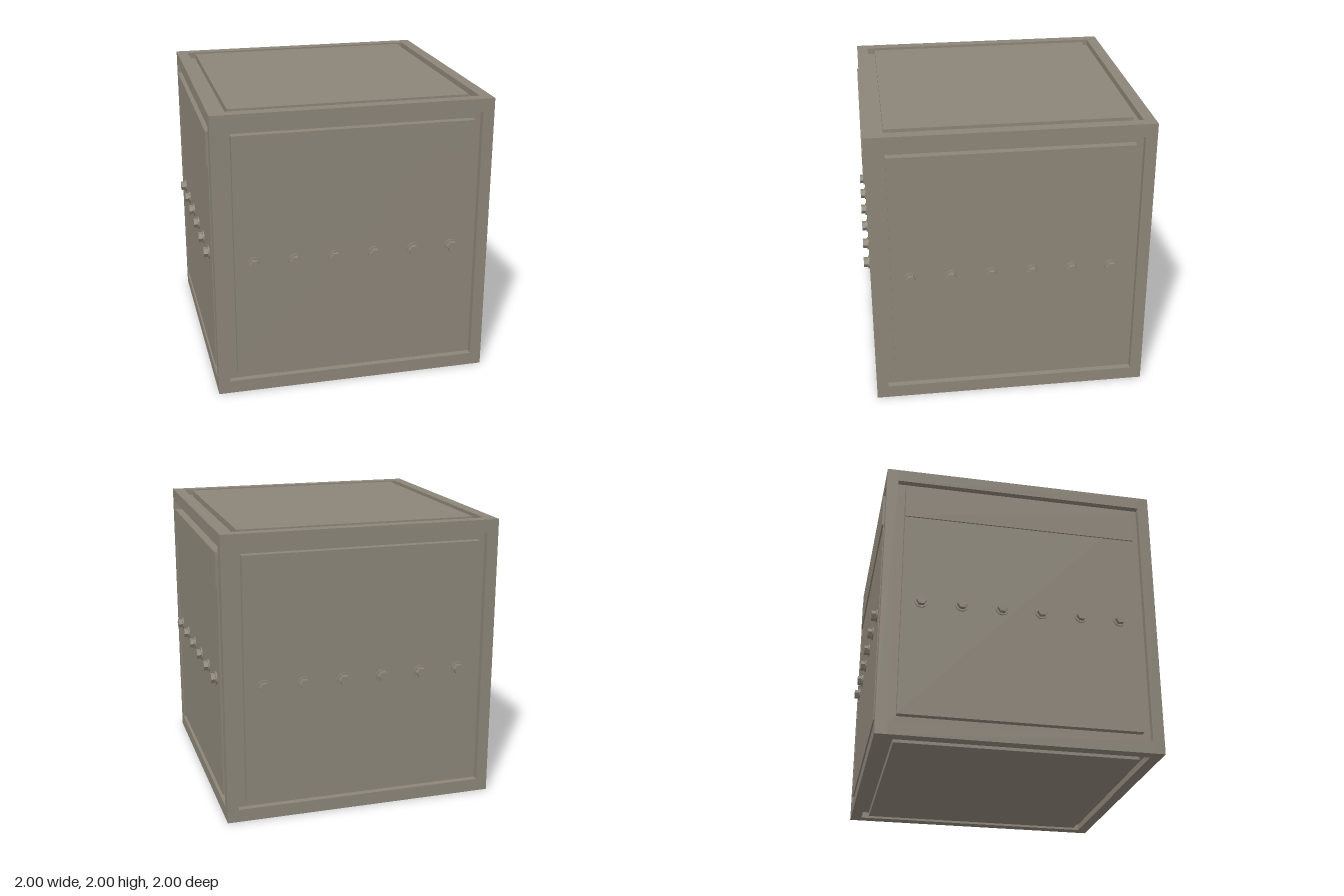
import * as THREE from 'three';
import { toCreasedNormals } from 'three/addons/utils/BufferGeometryUtils.js';

const HALF = 0.96;            // half width and depth of the crate
const HEIGHT = 2;
const RAIL = 0.08;            // frame width, horizontally
const CAP = 0.09;             // frame width, vertically
const GROOVE = 0.045;         // depth of the channel between frame and panel
const PANEL = 1.65;           // panel width
const PANEL_LOW = 0.145, PANEL_HIGH = 1.86;

export function createModel() {
  const group = new THREE.Group();
  const metal = new THREE.MeshStandardMaterial({ color: 0x8c8578 });
  metal.name = 'warm grey metal';

  const add = (parent, name, geometry, x, y, z) => {
    const mesh = new THREE.Mesh(geometry, metal);
    mesh.name = name;
    mesh.position.set(x, y, z);
    parent.add(mesh);
    return mesh;
  };
  const box = (parent, name, w, h, d, x, y, z) =>
    add(parent, name, new THREE.BoxGeometry(w, h, d), x, y, z);

  // Core body, whose faces are the floors of the channels
  const coreWidth = 2 * (HALF - GROOVE);
  box(group, 'core', coreWidth, HEIGHT - 2 * GROOVE, coreWidth, 0, 1, 0);

  // Frame: four posts, and rails around the top and bottom
  const frame = new THREE.Group();
  frame.name = 'frame';
  group.add(frame);
  const edge = HALF - RAIL / 2;
  const span = 2 * (HALF - RAIL);
  for (const a of [-1, 1]) {
    for (const b of [-1, 1]) {
      box(frame, 'cornerPost', RAIL, HEIGHT, RAIL, a * edge, 1, b * edge);
      const y = 1 + a * (1 - CAP / 2);
      box(frame, 'widthRail', span, CAP, RAIL, 0, y, b * edge);
      box(frame, 'depthRail', RAIL, CAP, span, b * edge, y, 0);
    }
  }

  // Top and bottom panels, flush with the frame
  box(group, 'topPanel', PANEL, 0.06, PANEL, 0, HEIGHT - 0.03, 0);
  box(group, 'bottomPanel', PANEL, 0.06, PANEL, 0, 0.03, 0);

  // Bolt parts, pointing along +z
  const boltGeometry = toCreasedNormals(
    new THREE.CylinderGeometry(0.035, 0.035, 0.05, 6).rotateY(Math.PI / 6).rotateX(Math.PI / 2), 0.5);
  const washerGeometry = toCreasedNormals(
    new THREE.CylinderGeometry(0.045, 0.045, 0.02, 16).rotateX(Math.PI / 2), 0.5);

  // Four identical sides: raised panel, thin upper plate and a row of bolts
  ['front', 'left', 'back', 'right'].forEach((name, i) => {
    const side = new THREE.Group();
    side.name = name + 'Side';
    side.rotation.y = i * Math.PI / 2;
    group.add(side);

    box(side, 'sidePanel', PANEL, PANEL_HIGH - PANEL_LOW, 0.06,
      0, (PANEL_HIGH + PANEL_LOW) / 2, HALF - 0.03);
    box(side, 'upperPlate', PANEL, 0.24, 0.02, 0, PANEL_HIGH - 0.12, HALF);
    for (let k = 0; k < 6; k++) {
      const x = (k - 2.5) * 0.277;
      add(side, 'boltHead', boltGeometry, x, 0.963, 0.975);
      add(side, 'washer', washerGeometry, x, 0.963, HALF);
    }
  });

  return group;
}
